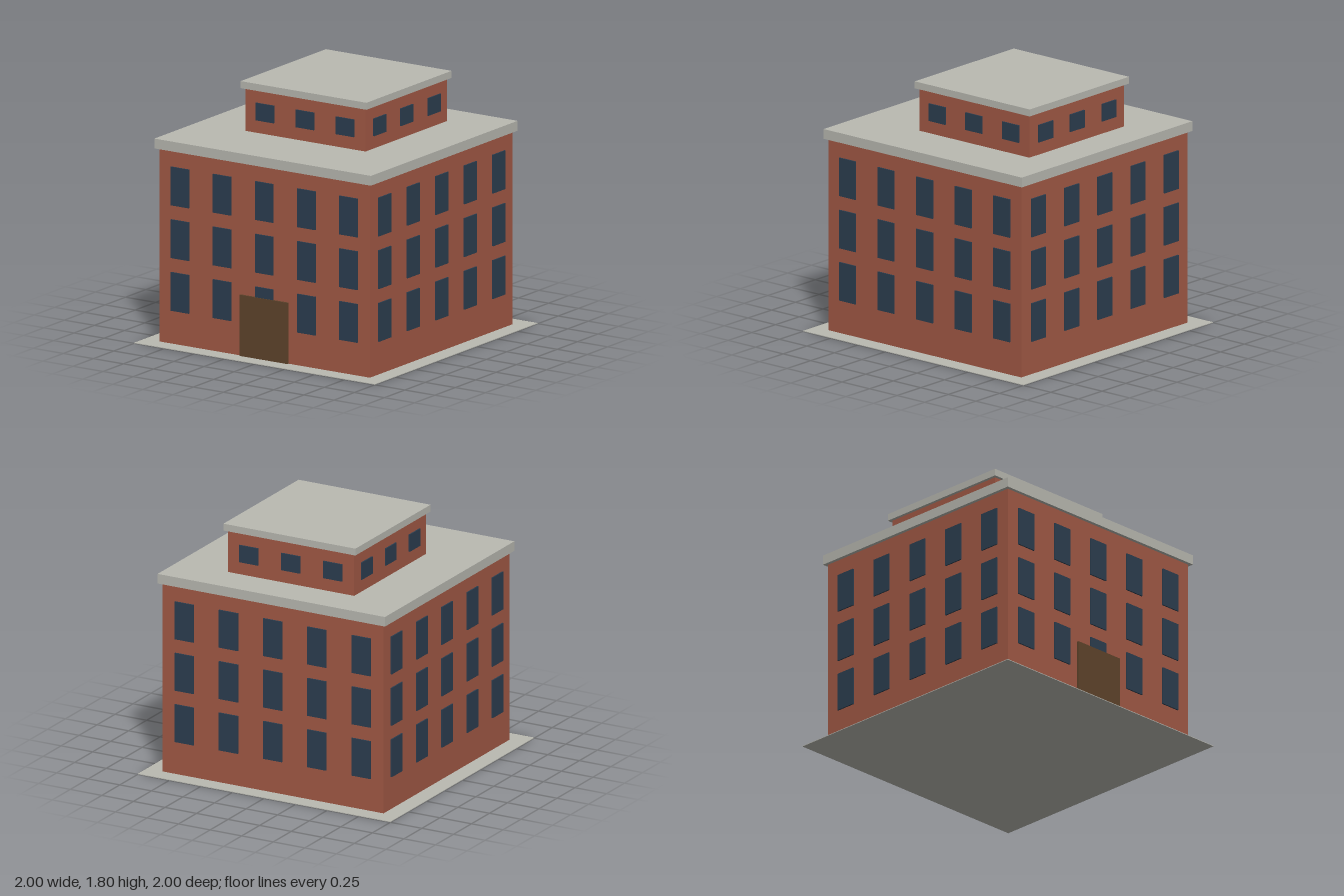
import * as THREE from 'three';

const material = (name, color) => {
  const m = new THREE.MeshStandardMaterial({ color });
  m.name = name;
  return m;
};

export function createModel() {
  const brick = material('brick', 0xa25945);
  const stone = material('stone', 0xb9b9b1);
  const glass = material('window glass', 0x2c3e50);
  const wood = material('door wood', 0x5f442b);

  const model = new THREE.Group();
  model.name = 'brickBuilding';

  // Box given by its size, bottom height and depth centre
  function block(parent, name, mat, w, h, d, bottom, z = 0) {
    const mesh = new THREE.Mesh(new THREE.BoxGeometry(w, h, d), mat);
    mesh.name = name;
    mesh.position.set(0, bottom + h / 2, z);
    parent.add(mesh);
    return mesh;
  }

  // Rows of thin window plates on all four sides of a square storey
  function windows(parent, name, half, columns, spacing, bottoms, height) {
    const thick = 0.0095;
    const geometry = new THREE.BoxGeometry(0.15, height, thick);
    for (let s = 0; s < 4; s++) {
      const side = new THREE.Group();
      side.name = name + ['Front', 'Left', 'Back', 'Right'][s];
      side.rotation.y = s * Math.PI / 2;
      for (const bottom of bottoms) {
        for (let c = 0; c < columns; c++) {
          const pane = new THREE.Mesh(geometry, glass);
          pane.name = 'window';
          pane.position.set((c - (columns - 1) / 2) * spacing, bottom + height / 2, half + thick / 2);
          side.add(pane);
        }
      }
      parent.add(side);
    }
  }

  // Pavement and main block
  block(model, 'pavement', stone, 2, 0.005, 2, 0);
  block(model, 'mainWalls', brick, 1.75, 1.378, 1.75, 0.002);
  block(model, 'mainRoof', stone, 1.8, 0.07, 1.8, 1.38);
  windows(model, 'mainWindows', 0.875, 5, 0.35, [0.24, 0.615, 0.99], 0.275);

  // Entrance, standing just in front of the windows
  block(model, 'door', wood, 0.4, 0.435, 0.014, 0.005, 0.882);

  // Set-back upper storey
  const upper = new THREE.Group();
  upper.name = 'upperStorey';
  upper.position.z = -0.125;
  block(upper, 'upperWalls', brick, 1, 0.305, 1, 1.45);
  block(upper, 'upperRoof', stone, 1.045, 0.05, 1.045, 1.755);
  windows(upper, 'upperWindows', 0.5, 3, 0.333, [1.54], 0.125);
  model.add(upper);

  return model;
}
